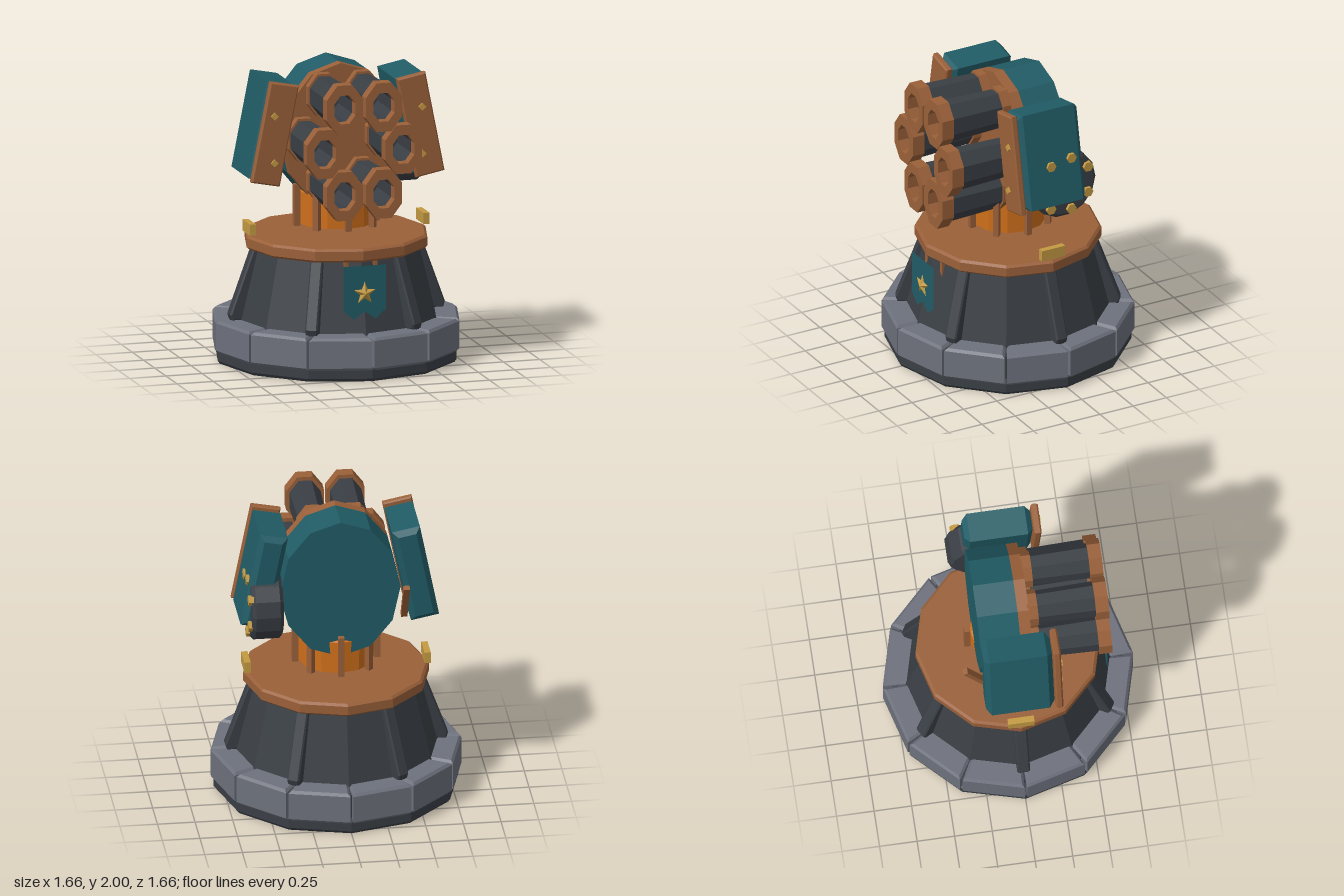
import * as THREE from 'three';

const mat = (name, color) => new THREE.MeshStandardMaterial({ name, color, flatShading: true });

export function createModel() {
  const dark = mat('dark iron', 0x3a3f45);
  const stone = mat('grey stone', 0x6d717c);
  const brown = mat('copper brown', 0x9a6039);
  const teal = mat('teal paint', 0x215c66);
  const orange = mat('bright orange', 0xd0701a);
  const gold = mat('gold', 0xc49a42);
  const tealCloth = mat('teal cloth', 0x215c66);
  tealCloth.side = THREE.DoubleSide;

  const model = new THREE.Group();
  model.name = 'rocketTurret';

  const add = (name, geo, material, x = 0, y = 0, z = 0, parent = model) => {
    const m = new THREE.Mesh(geo, material);
    m.name = name;
    m.position.set(x, y, z);
    parent.add(m);
    return m;
  };
  const shapeOf = pts => new THREE.Shape(pts.map(p => new THREE.Vector2(p[0], p[1])));
  const lathe = (pts, sides) => new THREE.LatheGeometry(pts.map(p => new THREE.Vector2(p[0], p[1])), sides);
  // Lathe turned so that its axis runs along z, with flats at top and bottom
  const latheZ = (pts, sides) => lathe(pts, sides).rotateY(Math.PI / sides).rotateX(Math.PI / 2);
  // Extruded outline with a one-step chamfer, centred in depth
  const bevelled = (pts, depth, b) => {
    const g = new THREE.ExtrudeGeometry(shapeOf(pts), {
      depth: depth - 2 * b, bevelEnabled: true, bevelThickness: b, bevelSize: b, bevelSegments: 1,
    });
    return g.translate(0, 0, -(depth - 2 * b) / 2);
  };
  const chamferBox = (w, h, d, b) => {
    const x = w / 2 - b, y = h / 2 - b;
    return bevelled([[-x, -y], [x, -y], [x, y], [-x, y]], d, b);
  };

  // Base slab, core and sloping pedestal
  add('baseSlab', lathe([[0, 0], [0.8, 0], [0.815, 0.02], [0.815, 0.08], [0.77, 0.1], [0.77, 0.26], [0, 0.26]], 12), dark);
  add('pedestal', lathe([[0.69, 0.24], [0.56, 0.77]], 12), dark);

  // Ring of twelve stone blocks
  const a = THREE.MathUtils.degToRad(13.3), b = 0.018;
  const block = bevelled([
    [0.67 * Math.cos(a), -0.67 * Math.sin(a)], [0.812 * Math.cos(a), -0.812 * Math.sin(a)],
    [0.812 * Math.cos(a), 0.812 * Math.sin(a)], [0.67 * Math.cos(a), 0.67 * Math.sin(a)],
  ], 0.22, b).rotateX(-Math.PI / 2);
  for (let i = 0; i < 12; i++) {
    add('stoneBlock', block, stone, 0, 0.185, 0).rotation.y = (i + 0.5) * Math.PI / 6;
  }

  // Six buttress ribs
  const rib = bevelled([[0.53, 0.755], [0.575, 0.755], [0.73, 0.33], [0.72, 0.3], [0.62, 0.3]], 0.085, 0.01);
  for (let i = 0; i < 6; i++) add('rib', rib, dark).rotation.y = i * Math.PI / 3;

  // Collar
  add('collar', lathe([[0, 0.76], [0.6, 0.76], [0.617, 0.775], [0.617, 0.835], [0.6, 0.85], [0, 0.85]], 12), brown);
  for (const s of [-1, 1]) add('sideLug', new THREE.BoxGeometry(0.042, 0.075, 0.175), gold, s * 0.598, 0.907, 0);

  // Neck with eight bars
  add('neck', lathe([[0, 0.91], [0.25, 0.91], [0.255, 1.13], [0.2, 1.17], [0, 1.17]], 12), orange);
  const bar = new THREE.BoxGeometry(0.04, 0.28, 0.04);
  for (let i = 0; i < 8; i++) {
    const t = i * Math.PI / 4;
    add('neckBar', bar, brown, 0.272 * Math.sin(t), 1.04, 0.272 * Math.cos(t)).rotation.y = t;
  }

  // Banner with straps and a faceted star
  add('banner', new THREE.ShapeGeometry(shapeOf([
    [-0.145, 0.745], [-0.145, 0.445], [-0.075, 0.385], [0, 0.435], [0.075, 0.385], [0.145, 0.445], [0.145, 0.745],
  ])), tealCloth, 0, 0, 0.642);
  for (const s of [-1, 1]) add('bannerStrap', new THREE.BoxGeometry(0.03, 0.15, 0.03), brown, s * 0.1, 0.69, 0.545);
  const starGeo = new THREE.ConeGeometry(0.08, 0.026, 10, 1);
  const p = starGeo.attributes.position;
  for (let i = 0; i < p.count; i++) {
    const k = Math.round(Math.atan2(p.getX(i), p.getZ(i)) / (Math.PI / 5));
    if (p.getY(i) < 0 && k % 2 === 0) p.setXYZ(i, p.getX(i) * 0.42, p.getY(i), p.getZ(i) * 0.42);
  }
  add('bannerStar', starGeo.rotateX(Math.PI / 2), gold, 0, 0.56, 0.657);

  // Oval launcher drum and front plate
  const head = new THREE.Group();
  head.name = 'launcherHead';
  head.position.y = 1.512;
  model.add(head);
  const drumGeo = (r, d) => new THREE.CylinderGeometry(r, r, d, 12).rotateX(Math.PI / 2).scale(0.82, 1, 1);
  add('drum', drumGeo(0.487, 0.27), teal, 0, 0, -0.1, head);
  add('frontPlate', drumGeo(0.488, 0.075), brown, 0, 0, 0.0725, head);

  // Six launch tubes with hollow bores and muzzle rings
  const tubeGeo = latheZ([[0.135, 0.1], [0.15, 0.56], [0.104, 0.56], [0.104, 0.25], [0, 0.25]], 8).scale(0.75, 1, 1);
  const ringGeo = latheZ([[0.178, 0.55], [0.178, 0.637], [0.104, 0.637], [0.104, 0.55], [0.178, 0.55]], 8).scale(0.76, 1, 1);
  const footGeo = latheZ([[0.155, 0.1], [0.155, 0.17], [0.1, 0.17]], 8).scale(0.75, 1, 1);
  for (let i = 0; i < 6; i++) {
    const t = i * Math.PI / 3, x = 0.27 * Math.cos(t), y = 0.338 * Math.sin(t);
    add('launchTube', tubeGeo, dark, x, y, 0, head);
    add('muzzleRing', ringGeo, brown, x, y, 0, head);
    add('tubeFoot', footGeo, brown, x, y, 0, head);
  }

  // Leaning side pods with brown face plates and studs
  const podGeo = chamferBox(0.19, 0.66, 0.455, 0.035);
  const faceGeo = chamferBox(0.2, 0.685, 0.05, 0.01);
  const studGeo = new THREE.CylinderGeometry(0.026, 0.026, 0.02, 4).rotateX(Math.PI / 2);
  for (const s of [-1, 1]) {
    const pod = new THREE.Group();
    pod.name = s > 0 ? 'leftPod' : 'rightPod';
    pod.position.set(s * 0.502, 1.585, 0);
    pod.rotation.z = s * 0.195;
    model.add(pod);
    add('podBody', podGeo, teal, 0, 0, -0.008, pod);
    add('podFace', faceGeo, brown, 0, 0, 0.25, pod);
    for (const k of [-1, 1]) {
      // Keep each stud upright and in line with its neighbour
      const stud = add('faceStud', studGeo, gold, s * k * 0.03, k * 0.155 - 0.035, 0.278, pod);
      stud.rotation.z = -s * 0.195;
    }
  }

  // Ammunition wheel with bolts on the left side
  const wheel = lathe([[0, -0.105], [0.215, -0.105], [0.242, -0.08], [0.242, 0.08], [0.215, 0.105], [0, 0.105]], 14);
  add('ammoWheel', wheel.rotateZ(-Math.PI / 2), dark, 0.49, 1.38, -0.1);
  const boltGeo = new THREE.CylinderGeometry(0.036, 0.036, 0.04, 6).rotateZ(Math.PI / 2);
  for (const deg of [29, 77, 125, -29, -77, -125]) {
    const t = THREE.MathUtils.degToRad(deg);
    add('wheelBolt', boltGeo, gold, 0.597, 1.388 + 0.192 * Math.sin(t), -0.098 - 0.192 * Math.cos(t));
  }

  // Slanted lever behind the right pod
  const lever = add('lever', new THREE.BoxGeometry(0.042, 0.3, 0.035), brown, -0.425, 1.42, -0.275);
  lever.rotation.x = -0.5;

  return model;
}
